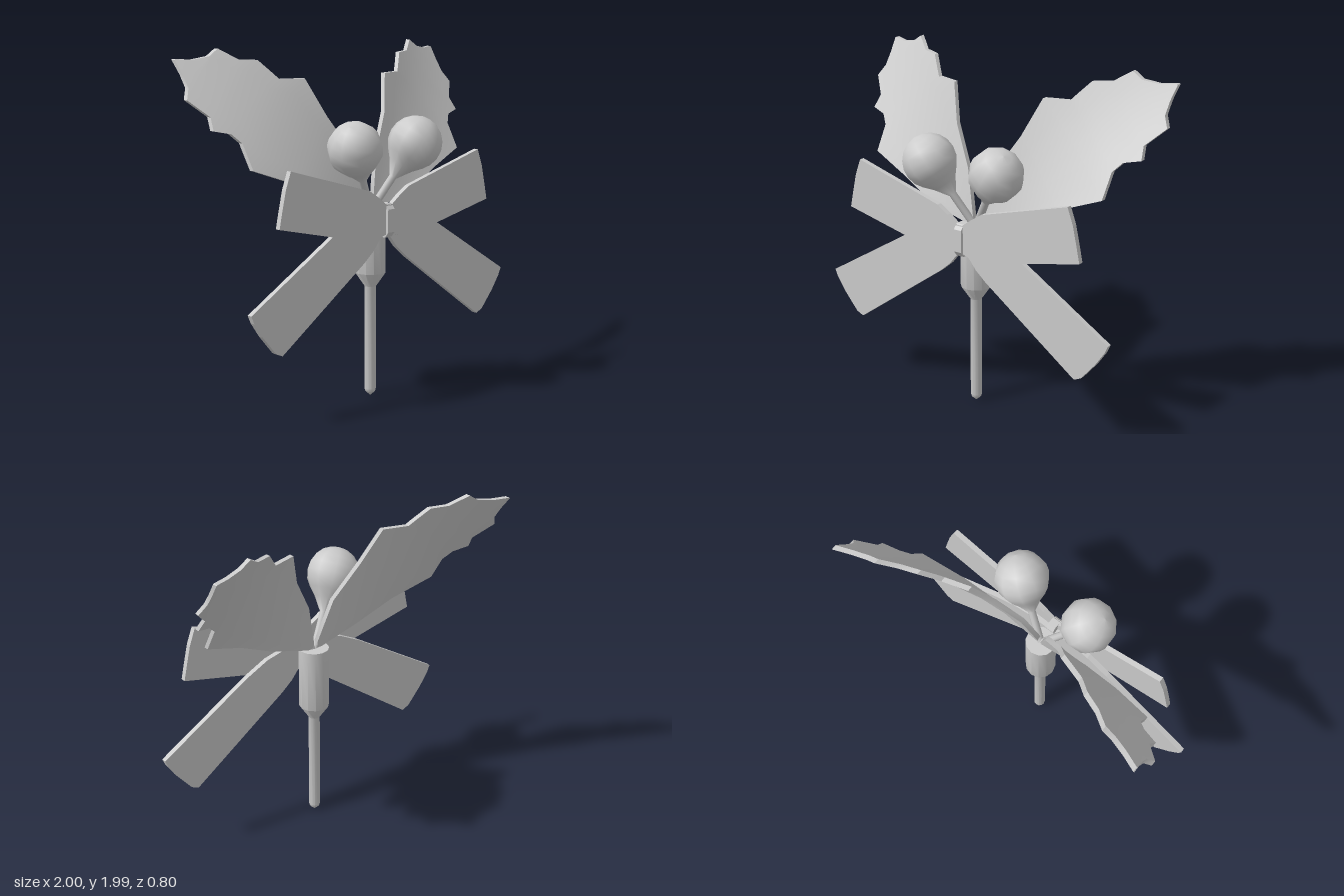
import * as THREE from 'three';
import { toCreasedNormals } from 'three/addons/utils/BufferGeometryUtils.js';

const material = new THREE.MeshStandardMaterial({ color: 0xcccccc });
const vec2 = (points) => points.map(([x, y]) => new THREE.Vector2(x, y));

function part(name, geometry) {
  const mesh = new THREE.Mesh(geometry, material);
  mesh.name = name;
  return mesh;
}

// Flat plate between two z depths, outlined in x and y
function plate(points, z0, z1) {
  const geometry = new THREE.ExtrudeGeometry(new THREE.Shape(vec2(points)), {
    depth: z1 - z0, bevelEnabled: false,
  });
  return geometry.translate(0, 0, z0);
}

// Half an outline, closed with its mirror image across x = 0
const mirrored = (half) => [...half, ...half.slice().reverse().map(([x, y]) => [-x, y])];

// Matching spiny edges of a leaf, from base to tip
const UPPER = [[0.012, 1.13], [0.085, 1.39], [0.22, 1.61], [0.305, 1.82], [0.45, 1.82], [0.475, 1.85],
  [0.54, 1.925], [0.64, 1.93], [0.73, 1.99], [0.79, 1.95], [0.88, 1.935], [0.97, 1.94]];
const LOWER = [[0.015, 1.08], [0.3, 1.16], [0.53, 1.27], [0.78, 1.36], [0.785, 1.5], [0.83, 1.55],
  [0.925, 1.57], [0.91, 1.64], [1.0, 1.73], [0.965, 1.79], [0.965, 1.86], [0.975, 1.935]];

// Leaf surface curls backward as it rises and spreads
const leafDepth = (x, y) => 0.115 - (0.176 * y + 0.542 * x * y - 0.084 * x);

function leafGeometry(side) {
  const [from, to] = side > 0 ? [UPPER, LOWER] : [LOWER, UPPER];
  const steps = 6, thickness = 0.03, ring = 2 * (steps + 1);
  const positions = [], index = [];
  from.forEach((a, i) => {
    for (let k = 0; k < ring; k++) {
      const front = k <= steps;
      const t = (front ? k : ring - 1 - k) / steps;
      const x = a[0] + (to[i][0] - a[0]) * t;
      const y = a[1] + (to[i][1] - a[1]) * t;
      positions.push(side * x, y, leafDepth(x, y - 1.1) + (front ? thickness : 0));
    }
  });
  const quad = (a, b, c, d) => index.push(a, b, c, b, d, c);
  for (let i = 0; i < from.length - 1; i++) {
    for (let k = 0; k < ring; k++) {
      const a = i * ring + k, b = i * ring + (k + 1) % ring;
      quad(a, b, a + ring, b + ring);
    }
  }
  // Close the base and the tip
  const last = (from.length - 1) * ring;
  for (let k = 0; k < steps; k++) {
    const back = ring - 1 - k;
    quad(k, back, k + 1, back - 1);
    quad(last + k, last + k + 1, last + back, last + back - 1);
  }
  const geometry = new THREE.BufferGeometry();
  geometry.setAttribute('position', new THREE.Float32BufferAttribute(positions, 3));
  geometry.setIndex(index);
  return toCreasedNormals(geometry, 0.6);
}

// Berry and its stalk in one turned profile
function berryProfile() {
  const points = [[0, 0], [0.022, 0], [0.022, 0.23], [0.075, 0.31]];
  const rings = 7;
  for (let i = 0; i <= rings; i++) {
    const angle = 2.3 * (1 - i / rings);
    points.push([0.155 * Math.sin(angle), 0.46 + 0.155 * Math.cos(angle)]);
  }
  return vec2(points);
}

export function createModel() {
  const group = new THREE.Group();

  // Pick with a wide socket on top
  const stemPoints = vec2([[0, 0], [0.028, 0.025], [0.033, 0.04], [0.033, 0.64], [0.088, 0.72],
    [0.088, 1.09], [0, 1.09]]);
  const stem = part('stem', toCreasedNormals(new THREE.LatheGeometry(stemPoints, 12), 0.6));
  stem.position.z = 0.13;
  group.add(stem);

  // Leaves and berries on both sides
  for (const side of [1, -1]) {
    const label = side > 0 ? 'left' : 'right';
    group.add(part(label + 'Leaf', leafGeometry(side)));

    const berry = part(label + 'Berry', new THREE.LatheGeometry(berryProfile(), 10));
    berry.position.set(0, 1.07, 0.13);
    const direction = new THREE.Vector3(side * 0.228, 0.377, 0.12).normalize();
    berry.quaternion.setFromUnitVectors(new THREE.Vector3(0, 1, 0), direction);
    group.add(berry);
  }

  // Ribbon loops
  group.add(part('bowLoops', plate(mirrored([
    [0.02, 0.96], [0.07, 0.945], [0.14, 0.935], [0.22, 0.945], [0.795, 1.075],
    [0.775, 1.17], [0.75, 1.28], [0.715, 1.375], [0.15, 1.215], [0.08, 1.17], [0.02, 1.125],
  ]), 0.253, 0.284)));

  // Ribbon tails
  group.add(part('bowTails', plate(mirrored([
    [0.02, 0.95], [0.05, 0.92], [0.09, 0.87], [0.16, 0.81], [0.755, 0.385], [0.8, 0.405],
    [0.89, 0.51], [0.945, 0.59], [0.965, 0.635], [0.4, 0.98], [0.26, 1.05], [0.14, 1.08], [0.02, 1.07],
  ]), 0.222, 0.253)));

  // Knot band wrapped round the middle, chamfered at its corners
  const knot = part('knot', plate([
    [-0.21, 0.97], [-0.225, 0.94], [-0.275, 0.94], [-0.3, 0.97],
    [-0.3, 1.1], [-0.275, 1.13], [-0.225, 1.13], [-0.21, 1.1],
  ], -0.025, 0.025));
  knot.rotation.y = Math.PI / 2;
  group.add(knot);

  return group;
}
